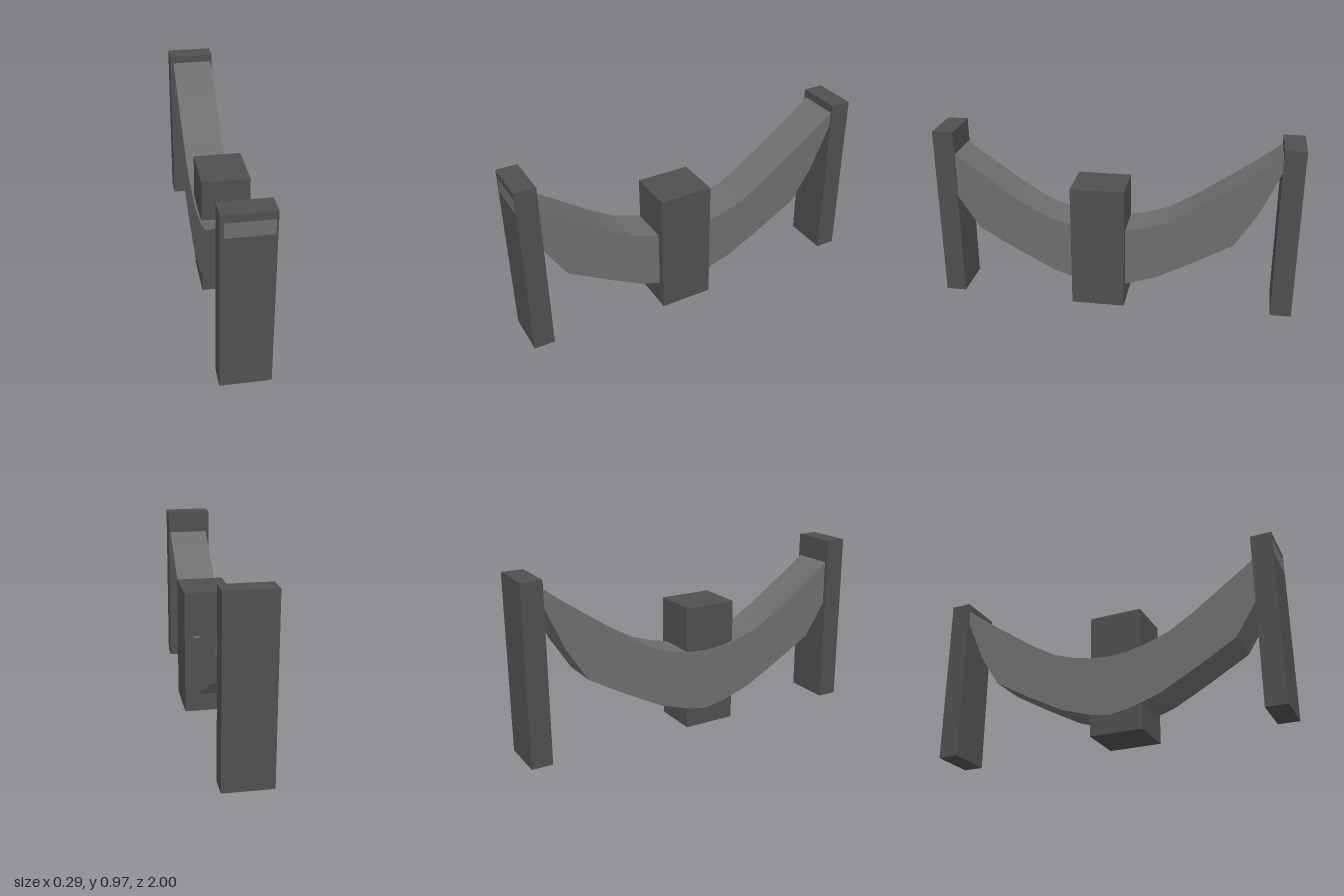
import * as THREE from 'three';

export function createModel() {
  const model = new THREE.Group();
  const dark = new THREE.MeshStandardMaterial({ color: 0x4f4f4f, flatShading: true });
  const light = new THREE.MeshStandardMaterial({ color: 0x6e6e6e, flatShading: true });

  // Upright block standing on the ground, given by its x and z extents and height
  function block(name, x0, x1, z0, z1, height) {
    const mesh = new THREE.Mesh(new THREE.BoxGeometry(x1 - x0, height, z1 - z0), dark);
    mesh.position.set((x0 + x1) / 2, height / 2, (z0 + z1) / 2);
    mesh.name = name;
    model.add(mesh);
  }
  block('frontPost', -0.147, 0.113, 0.885, 0.999, 0.973);
  block('backPost', -0.147, 0.113, -1, -0.885, 0.973);
  block('middleBlock', -0.117, 0.146, -0.063, 0.235, 0.7);

  // Sagging beam: half profiles as [distance from its lowest point, height]
  const top = [[0.945, 0.933], [0.86, 0.866], [0.74, 0.778], [0.62, 0.695], [0.48, 0.598],
    [0.345, 0.518], [0.22, 0.475], [0.11, 0.45], [0, 0.44]];
  const bottom = [[0, 0.1], [0.113, 0.118], [0.285, 0.174], [0.5, 0.288], [0.712, 0.41],
    [0.83, 0.595], [0.945, 0.855]];
  const mirrored = (half) => half.filter(([u]) => u > 0).reverse().map(([u, y]) => [-u, y]);
  const centreZ = 0.055;
  const outline = [...top, ...mirrored(top), ...mirrored(bottom), ...bottom]
    .map(([u, y]) => new THREE.Vector2(u + centreZ, y));
  const geometry = new THREE.ExtrudeGeometry(new THREE.Shape(outline), { depth: 0.231, bevelEnabled: false });
  geometry.rotateY(-Math.PI / 2); // profile runs along z, width along x
  geometry.translate(0.103, 0, 0);
  const beam = new THREE.Mesh(geometry, light);
  beam.name = 'saggingBeam';
  model.add(beam);

  return model;
}
